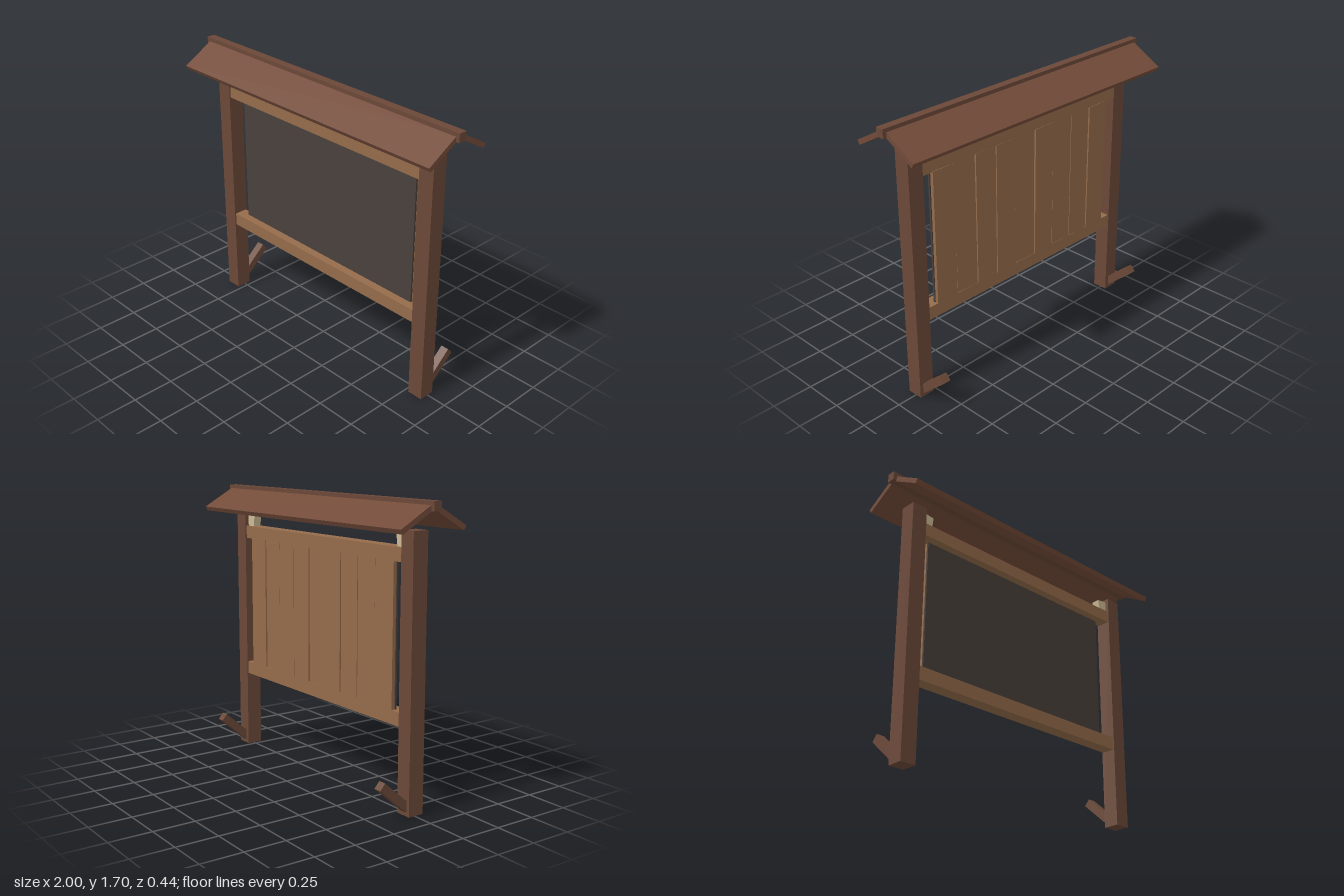
import * as THREE from 'three';

const mat = (name, color) => {
  const m = new THREE.MeshStandardMaterial({ color });
  m.name = name;
  return m;
};

export function createModel() {
  const model = new THREE.Group();
  model.name = 'noticeBoard';

  const darkWood = mat('darkWood', 0x6b4838);
  const roofWood = mat('roofWood', 0x734b39);
  const lightWood = mat('lightWood', 0x956c4b);
  const slate = mat('slate', 0x4a403c);
  const cream = mat('cream', 0xcdb994);

  const box = (name, material, size, pos, rot = [0, 0, 0]) => {
    const mesh = new THREE.Mesh(new THREE.BoxGeometry(...size), material);
    mesh.name = name;
    mesh.position.set(...pos);
    mesh.rotation.set(...rot);
    model.add(mesh);
    return mesh;
  };

  for (const [side, s] of [['left', 1], ['right', -1]]) {
    // Upright post
    box(side + 'Post', darkWood, [0.097, 1.54, 0.098], [s * 0.823, 0.77, 0.008]);
    // Slanted ground brace behind the post
    box(side + 'GroundBrace', darkWood, [0.05, 0.05, 0.255], [s * 0.825, 0.115, -0.11], [0.72, 0, 0]);
    // Small tilted wedge between post and top rail
    box(side + 'Wedge', cream, [0.085, 0.085, 0.05], [s * 0.752, 1.478, 0.008], [0, 0, s * 0.14]);
  }

  // Cross rails
  box('topRail', lightWood, [1.56, 0.077, 0.082], [0, 1.408, 0.008]);
  box('bottomRail', lightWood, [1.56, 0.08, 0.082], [0, 0.52, 0.008]);

  // Front writing panel
  box('panel', slate, [1.416, 0.81, 0.012], [0, 0.965, -0.007]);

  // Back planks with slightly uneven depth and tilt
  const count = 9, pitch = 1.416 / count;
  for (let i = 0; i < count; i++) {
    const wobble = Math.sin(i * 2.4 + 1);
    box('plank' + (i + 1), lightWood, [pitch - 0.005, 0.815, 0.02],
      [-0.708 + pitch * (i + 0.5), 0.965, -0.023 - 0.003 * wobble], [0, 0.02 * wobble, 0.003 * wobble]);
  }

  // Pitched roof boards and ridge beam
  for (const [side, s] of [['front', 1], ['back', -1]]) {
    box(side + 'RoofBoard', roofWood, [1.955, 0.029, 0.235],
      [0, 1.61, s * 0.109 + 0.003], [s * 0.52, 0, 0]);
  }
  box('ridgeBeam', darkWood, [2, 0.052, 0.05], [0, 1.672, 0.005]);

  return model;
}
